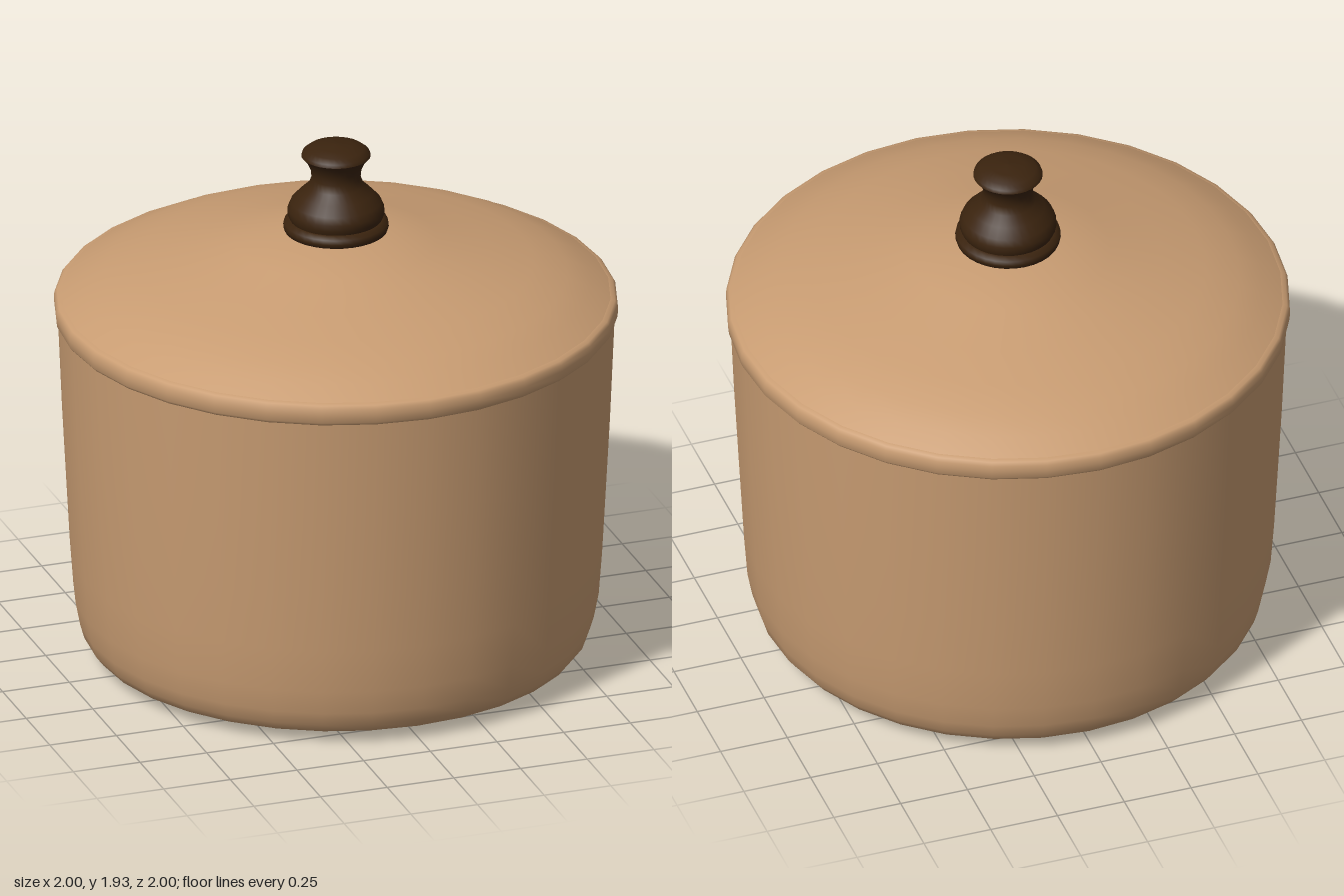
import * as THREE from 'three';

const SEGMENTS = 32;

// Revolves a bottom-to-top [radius, height] profile around the y axis.
function turned(name, profile, material) {
  const points = profile.map(([r, y]) => new THREE.Vector2(r, y));
  const mesh = new THREE.Mesh(new THREE.LatheGeometry(points, SEGMENTS), material);
  mesh.name = name;
  return mesh;
}

export function createModel() {
  const clay = new THREE.MeshStandardMaterial({ name: 'tan clay', color: 0xc89c72 });
  const wood = new THREE.MeshStandardMaterial({ name: 'dark wood', color: 0x3a230e });

  const model = new THREE.Group();
  model.name = 'lidded pot';

  // Flat base, rounded foot and gently flaring wall
  model.add(turned('base', [[0, 0], [0.4, 0.007], [0.78, 0.018]], clay));
  model.add(turned('body', [
    [0.78, 0.018], [0.83, 0.027], [0.872, 0.046], [0.898, 0.08], [0.913, 0.13],
    [0.93, 0.22], [0.942, 0.38], [0.954, 0.6], [0.97, 0.9], [0.986, 1.275],
  ], clay));

  // Raised band of the lid that overlaps the wall
  model.add(turned('lidRim', [
    [0.986, 1.275], [0.996, 1.287], [0.999, 1.315], [0.997, 1.338], [0.988, 1.35], [0.972, 1.355],
  ], clay));

  // Shallow domed lid rising to a cone
  model.add(turned('lid', [
    [0.972, 1.355], [0.9, 1.397], [0.82, 1.435], [0.7, 1.476], [0.55, 1.512],
    [0.36, 1.562], [0.19, 1.605], [0, 1.61],
  ], clay));

  // Turned knob: foot ring, waisted stem and flared cap
  const knob = new THREE.Group();
  knob.name = 'knob';
  knob.add(turned('knobFoot', [
    [0, 1.603], [0.182, 1.603], [0.187, 1.62], [0.184, 1.636], [0.165, 1.648], [0.12, 1.65],
  ], wood));
  knob.add(turned('knobStem', [
    [0.163, 1.646], [0.171, 1.665], [0.171, 1.687], [0.16, 1.713], [0.13, 1.745],
    [0.098, 1.775], [0.087, 1.805], [0.09, 1.835], [0.104, 1.866], [0.123, 1.888],
  ], wood));
  knob.add(turned('knobCap', [
    [0.123, 1.888], [0.119, 1.9], [0.1, 1.915], [0.06, 1.926], [0, 1.931],
  ], wood));
  model.add(knob);

  return model;
}
